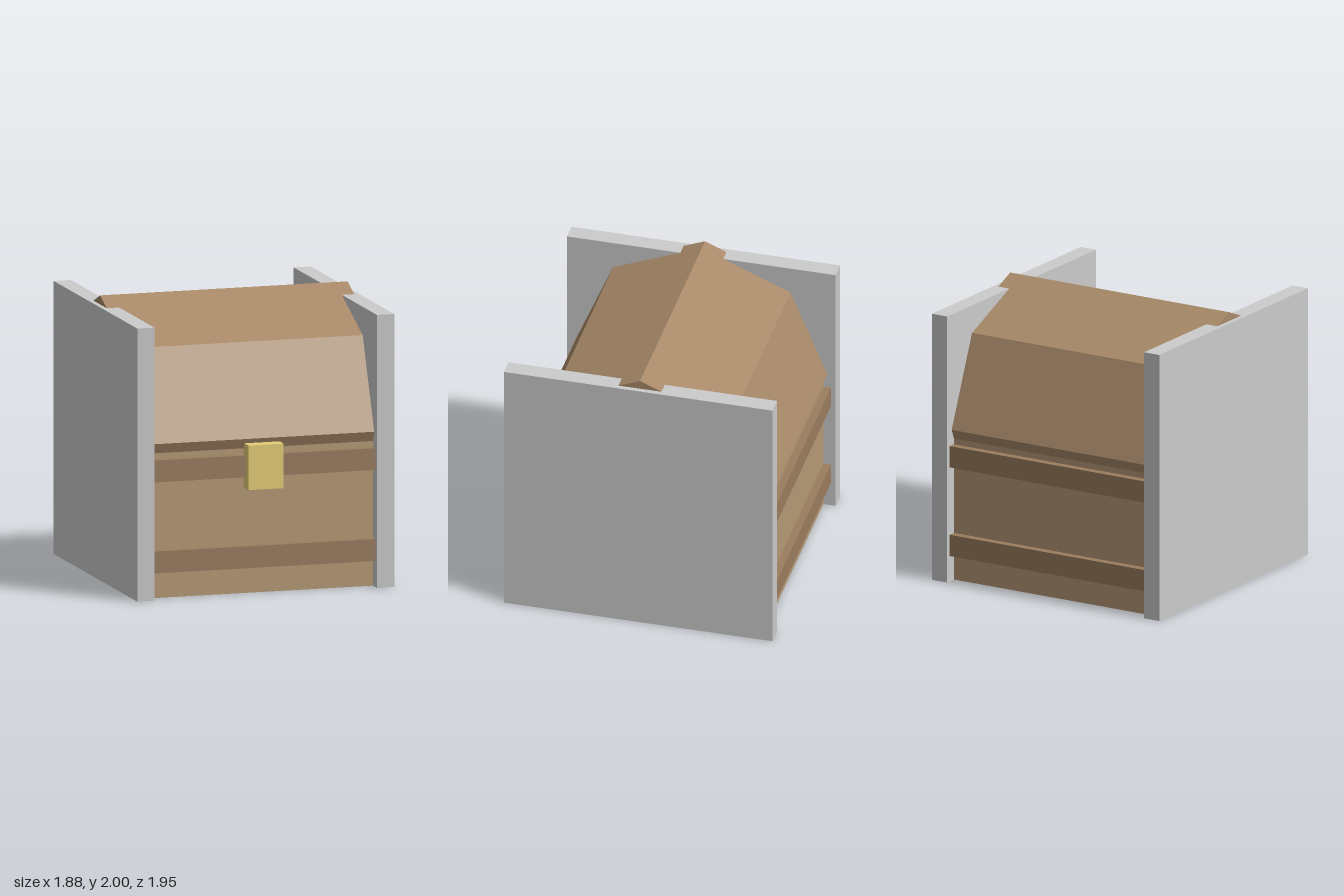
import * as THREE from 'three';

const material = (color) => new THREE.MeshStandardMaterial({ color, flatShading: true });

export function createModel() {
  const chest = new THREE.Group();
  chest.name = 'chest';

  const grey = material(0xcccccc);
  const bodyWood = material(0xb69a77);
  const bandWood = material(0x9b7d5f);
  const lidWood = material(0xa98a69);
  const gold = material(0xe5ce78);
  const midZ = -0.01; // the latch shifts the wooden parts slightly back

  const add = (name, geometry, mat, x, y, z) => {
    const mesh = new THREE.Mesh(geometry, mat);
    mesh.name = name;
    mesh.position.set(x, y, z);
    chest.add(mesh);
    return mesh;
  };
  const box = (name, mat, w, h, d, x, y, z) =>
    add(name, new THREE.BoxGeometry(w, h, d), mat, x, y, z);

  // Body, ending just inside the side panels
  box('body', bodyWood, 1.64, 1.03, 1.75, 0, 0.515, midZ);

  // Two bands around the body
  box('lowerBand', bandWood, 1.64, 0.155, 1.86, 0, 0.262, midZ);
  box('upperBand', bandWood, 1.64, 0.155, 1.86, 0, 0.907, midZ);

  // Eight-sided barrel lid; its ridge shows above the side panels
  const lid = new THREE.CylinderGeometry(0.904, 0.904, 1.81, 8);
  lid.rotateZ(Math.PI / 2);
  add('lid', lid, lidWood, 0, 1.096, midZ);

  // Tall side panels
  for (const side of [1, -1]) {
    box(side > 0 ? 'leftPanel' : 'rightPanel', grey, 0.126, 1.936, 1.935, side * 0.877, 0.968, -0.006);
  }

  // Latch on the front
  box('latch', gold, 0.258, 0.316, 0.13, -0.002, 0.906, 0.91);

  return chest;
}
